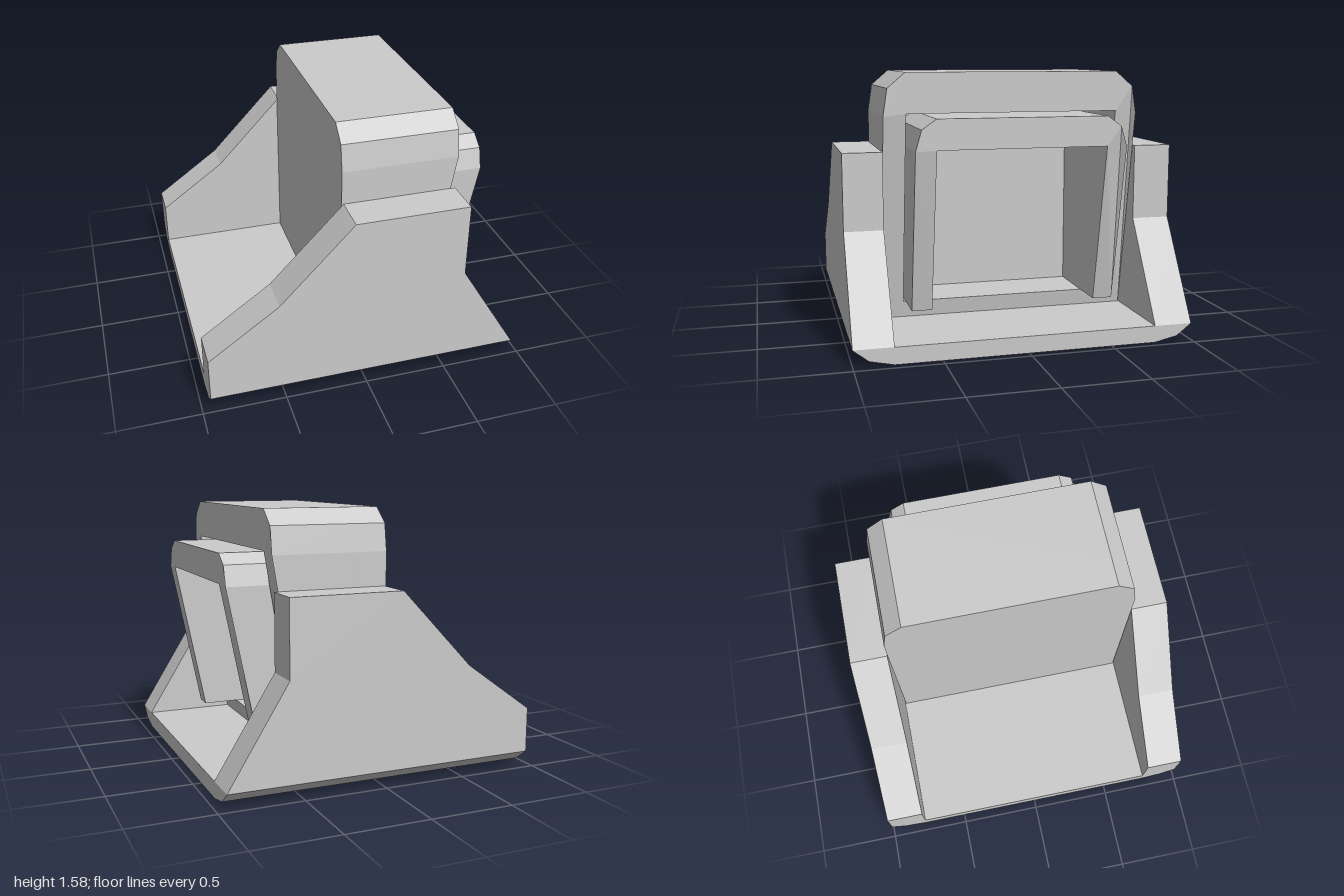
import * as THREE from 'three';

const material = new THREE.MeshStandardMaterial({ color: 0xcccccc });
const toPoints = (list) => list.map(([a, b]) => new THREE.Vector2(a, b));

// Mirrors a half profile (running from bottom to top) into a closed outline.
const mirrored = (half) => [...half, ...half.map(([a, b]) => [-a, b]).reverse()];

function addMesh(parent, name, geometry) {
  geometry.computeVertexNormals();
  const mesh = new THREE.Mesh(geometry, material);
  mesh.name = name;
  parent.add(mesh);
}

// Extrudes a (z, y) outline along x from x0 to x1; frontX(y) bends the front end.
function extrudeX(outline, x0, x1, { hole, frontX } = {}) {
  const shape = new THREE.Shape(toPoints(outline));
  if (hole) shape.holes.push(new THREE.Path(toPoints(hole)));
  const geometry = new THREE.ExtrudeGeometry(shape, { depth: x1 - x0, bevelEnabled: false });
  geometry.rotateY(Math.PI / 2).translate(x0, 0, 0);
  if (frontX) {
    const p = geometry.attributes.position;
    for (let i = 0; i < p.count; i++) {
      if (p.getX(i) > x1 - 1e-4) p.setX(i, frontX(p.getY(i)));
    }
  }
  return geometry;
}

export function createModel() {
  const model = new THREE.Group();
  model.name = 'cradleWithHousing';

  // Floor slab with chamfered lower edges
  addMesh(model, 'base', extrudeX(mirrored([[0.77, 0], [0.91, 0.03], [1, 0.1]]), -0.95, 0.95));

  // Stepped side walls
  const wall = new THREE.Shape(toPoints([
    [-0.95, 0.1], [0.95, 0.1], [0.59, 0.68], [0.59, 1.13],
    [-0.09, 1.13], [-0.53, 0.67], [-0.95, 0.37],
  ]));
  for (const [name, z] of [['frontWall', 0.77], ['backWall', -1]]) {
    const geometry = new THREE.ExtrudeGeometry(wall, { depth: 0.23, bevelEnabled: false });
    addMesh(model, name, geometry.translate(0, 0, z));
  }

  // Housing: solid rear part and a hollow part with a leaning rim
  const pocketX = 0.07;
  const housing = mirrored([[0.765, 0.1], [0.765, 1.33], [0.74, 1.49], [0.635, 1.58]]);
  addMesh(model, 'housingRear', extrudeX(housing, -0.1, pocketX));
  addMesh(model, 'housingRim', extrudeX(housing, pocketX, 0.6, {
    hole: mirrored([[0.635, 0.2], [0.635, 1.345]]),
    frontX: (y) => 0.6 - 0.17 * Math.max(0, 1.33 - y),
  }));

  // Open-bottomed hood sliding out of the housing
  const hood = [
    [0.5, 0.2], [0.62, 0.2], [0.62, 1.15], [0.585, 1.27], [0.5, 1.33],
    [-0.5, 1.33], [-0.585, 1.27], [-0.62, 1.15], [-0.62, 0.2], [-0.5, 0.2],
    [-0.5, 1.155], [0.5, 1.155],
  ];
  addMesh(model, 'hood', extrudeX(hood, pocketX, 0.82, {
    frontX: (y) => 0.82 - 0.2 * Math.max(0, 1.15 - y),
  }));

  return model;
}
